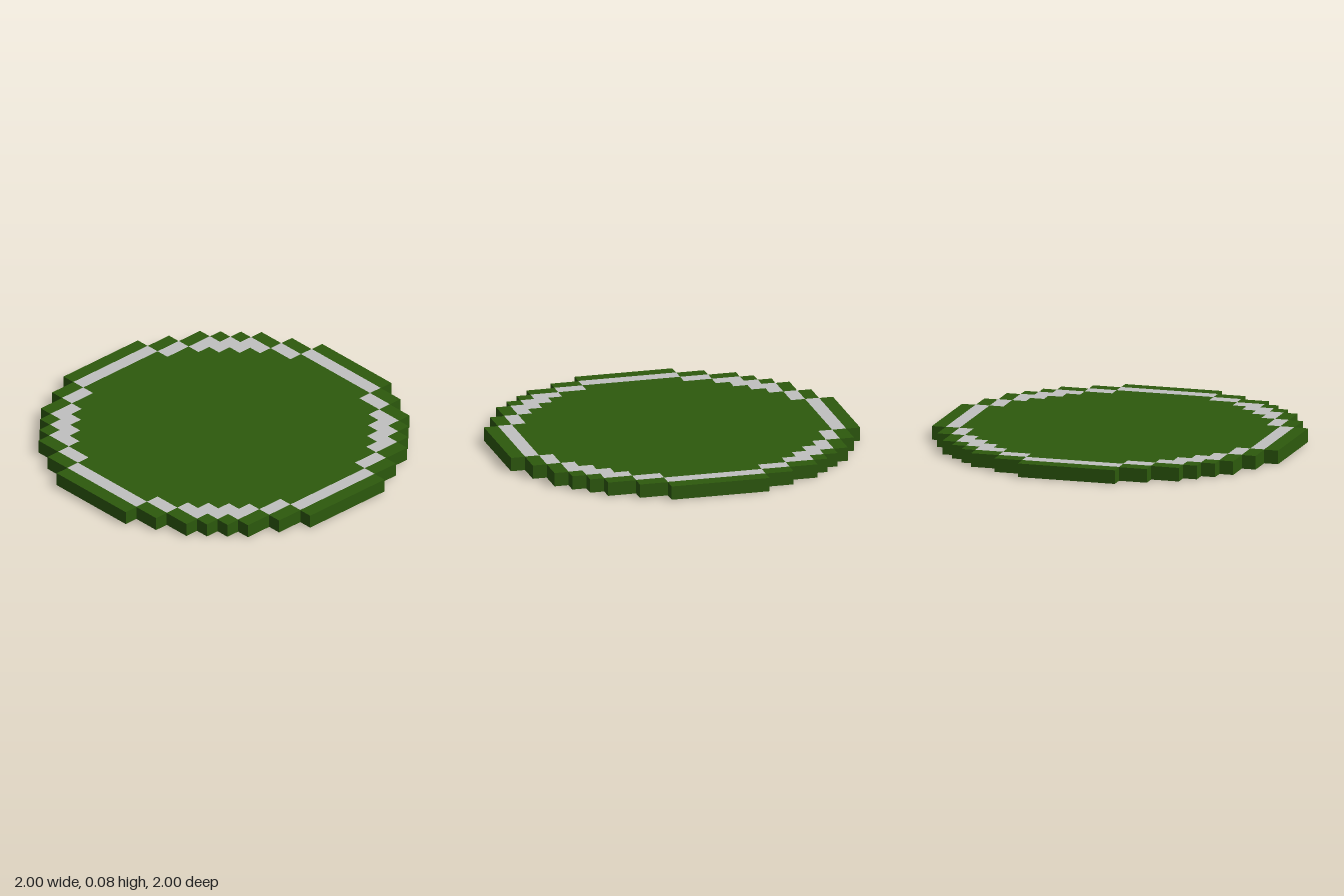
import * as THREE from 'three';
import { mergeGeometries } from 'three/addons/utils/BufferGeometryUtils.js';

const HEIGHT = 0.08;
const LIFT = 0.0015; // thickness of the painted ring above the slab

// Stepped edge of one quarter; each pair gives a tread: x, and the depth it reaches
const STEPS = [1, 0.28, 0.92, 0.44, 0.84, 0.6, 0.76, 0.68, 0.68, 0.76, 0.6, 0.84, 0.44, 0.92, 0.28, 1];

// Ring tiles of one quarter: x0, x1, z0, z1
const TILES = [
  [-0.28, 0.28, 0.84, 0.92],
  [0.28, 0.44, 0.76, 0.84],
  [0.44, 0.6, 0.68, 0.76],
  [0.52, 0.68, 0.6, 0.68],
  [0.6, 0.76, 0.52, 0.6],
  [0.68, 0.76, 0.44, 0.52],
  [0.76, 0.84, 0.28, 0.44],
];

function discOutline() {
  const quarter = [];
  for (let i = 0; i < STEPS.length; i += 2) {
    if (i > 0) quarter.push(new THREE.Vector2(STEPS[i], STEPS[i - 1]));
    quarter.push(new THREE.Vector2(STEPS[i], STEPS[i + 1]));
  }
  const points = [];
  const centre = new THREE.Vector2();
  for (let q = 0; q < 4; q++) {
    for (const p of quarter) points.push(p.clone().rotateAround(centre, q * Math.PI / 2));
  }
  return new THREE.Shape(points);
}

// Flat tiles of the ring, facing up or down
function ringFace(up) {
  const tiles = [];
  for (let q = 0; q < 4; q++) {
    for (const [x0, x1, z0, z1] of TILES) {
      const tile = new THREE.PlaneGeometry(x1 - x0, z1 - z0);
      tile.rotateX(up ? -Math.PI / 2 : Math.PI / 2);
      tile.translate((x0 + x1) / 2, up ? HEIGHT : 0, (z0 + z1) / 2);
      tile.rotateY(q * Math.PI / 2);
      tiles.push(tile);
    }
  }
  return mergeGeometries(tiles);
}

export function createModel() {
  const green = new THREE.MeshStandardMaterial({ color: 0x2d5a0d });
  green.name = 'dark green';
  const grey = new THREE.MeshStandardMaterial({ color: 0xc0c0c0 });
  grey.name = 'light grey';

  const group = new THREE.Group();
  group.name = 'steppedDisc';
  const add = (name, geometry, material) => {
    const mesh = new THREE.Mesh(geometry, material);
    mesh.name = name;
    group.add(mesh);
  };

  // Solid blocky slab
  const slab = new THREE.ExtrudeGeometry(discOutline(), { depth: HEIGHT - 2 * LIFT, bevelEnabled: false });
  slab.rotateX(-Math.PI / 2);
  slab.translate(0, LIFT, 0);
  add('slab', slab, green);

  // Painted ring on both faces
  add('topRing', ringFace(true), grey);
  add('bottomRing', ringFace(false), grey);
  return group;
}
